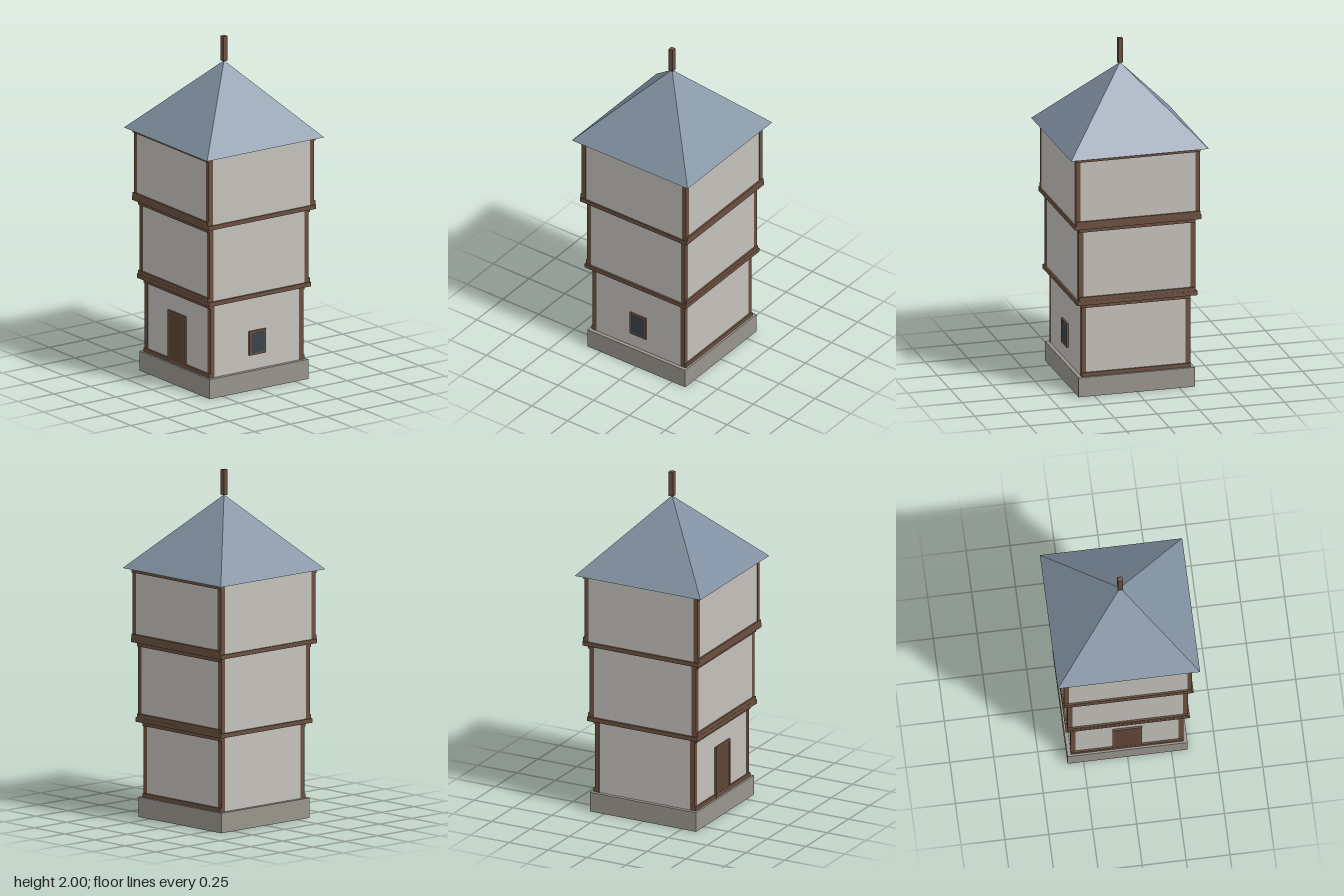
import * as THREE from 'three';

const mat = (color) => new THREE.MeshStandardMaterial({ color, flatShading: true });

export function createModel() {
  const tower = new THREE.Group();
  tower.name = 'watchtower';
  const wall = mat(0xc4c1bb), stone = mat(0x98958c), wood = mat(0x6b5040);
  const door = mat(0x5e4636), slate = mat(0x8090a0), glass = mat(0x3a444c);

  // Box given by its centre in x and z, and its bottom and top heights
  const box = (name, material, w, d, y0, y1, x = 0, z = 0, parent = tower) => {
    const mesh = new THREE.Mesh(new THREE.BoxGeometry(w, y1 - y0, d), material);
    mesh.position.set(x, (y0 + y1) / 2, z);
    mesh.name = name;
    parent.add(mesh);
    return mesh;
  };

  box('foundation', stone, 0.684, 0.684, 0, 0.115);

  // Storeys grow wider upward; timber frames the front and back
  const storeys = [
    { half: 0.32, y0: 0.115, y1: 0.547 },
    { half: 0.342, y0: 0.572, y1: 1.005 },
    { half: 0.364, y0: 1.03, y1: 1.43 },
  ];
  const post = 0.028, beam = 0.023, proud = 0.001;
  storeys.forEach(({ half, y0, y1 }, i) => {
    const storey = new THREE.Group();
    storey.name = `storey${i + 1}`;
    tower.add(storey);
    box('walls', wall, half * 2, half * 2, y0, y1, 0, 0, storey);
    for (const sz of [-1, 1]) {
      const zBeam = sz * (half - 0.004);
      box('lowerBeam', wood, half * 2, post, y0, y0 + beam, 0, zBeam, storey);
      box('upperBeam', wood, half * 2, post, y1 - beam, y1, 0, zBeam, storey);
      for (const sx of [-1, 1]) {
        const c = half - post / 2 + proud;
        box('cornerPost', wood, post, post, y0, y1, sx * c, sz * c, storey);
      }
    }
  });

  // Projecting floor ledges between storeys
  box('lowerLedge', wood, 0.706, 0.706, 0.547, 0.572);
  box('upperLedge', wood, 0.744, 0.744, 1.005, 1.03);

  // Front door with a thin frame
  box('doorPanel', door, 0.15, 0.02, 0.115, 0.41, 0, 0.319);
  for (const s of [-1, 1]) box('doorJamb', wood, 0.012, 0.02, 0.115, 0.42, s * 0.078, 0.321);
  box('doorLintel', wood, 0.144, 0.02, 0.408, 0.42, 0, 0.321);

  // Window on the left wall
  box('windowFrame', wood, 0.02, 0.114, 0.203, 0.345, 0.321, 0);
  box('windowPane', glass, 0.02, 0.09, 0.215, 0.333, 0.322, 0);

  // Pyramid roof and its finial
  const roof = new THREE.Mesh(
    new THREE.ConeGeometry(0.405 * Math.SQRT2, 0.425, 4).rotateY(Math.PI / 4), slate);
  roof.position.y = 1.43 + 0.425 / 2;
  roof.name = 'roof';
  tower.add(roof);
  box('finial', wood, 0.028, 0.028, 1.855, 2);

  return tower;
}
